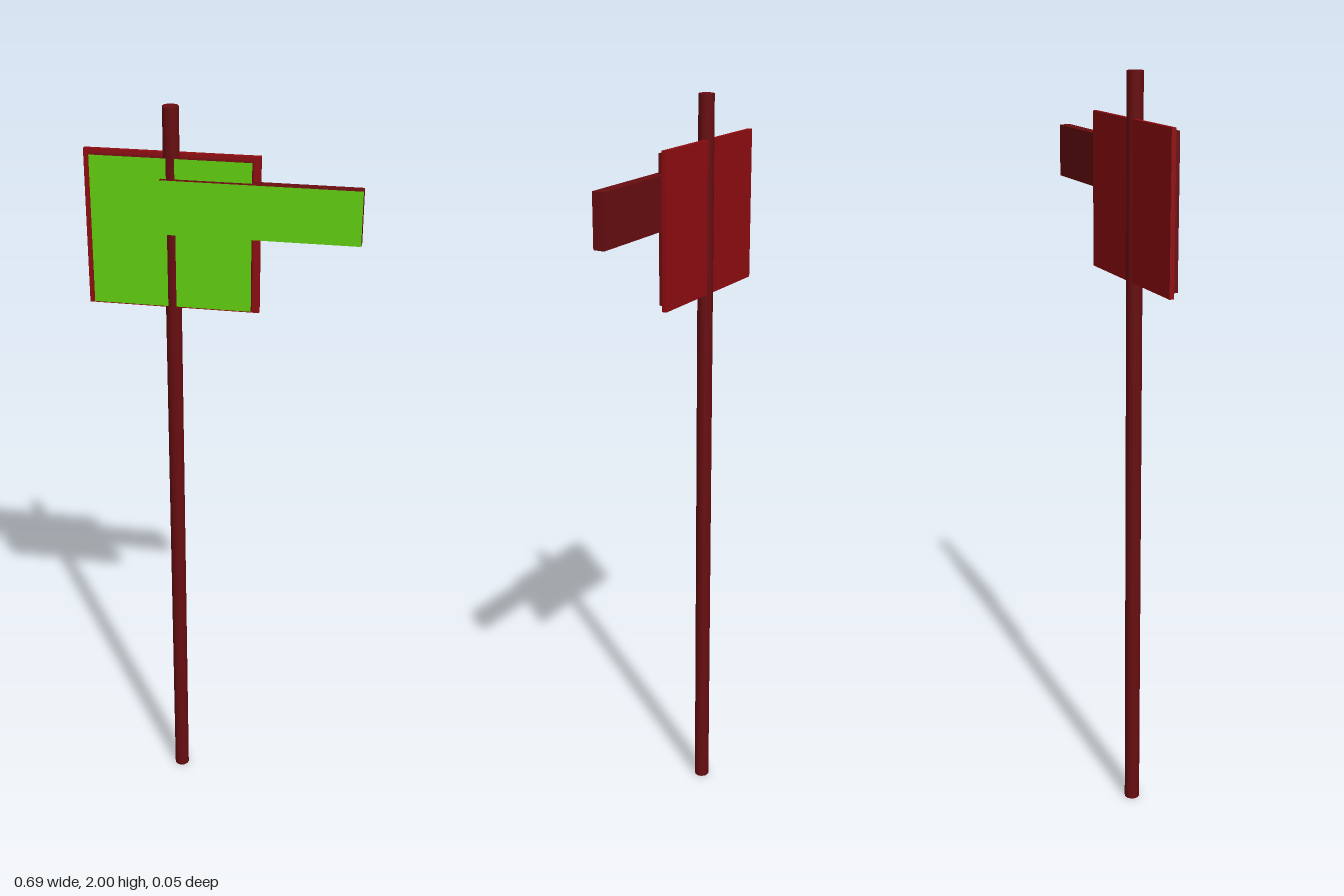
import * as THREE from 'three';

export function createModel() {
  const model = new THREE.Group();
  model.name = 'signPost';

  const mat = (name, color) => {
    const m = new THREE.MeshStandardMaterial({ color });
    m.name = name;
    return m;
  };
  const darkRed = mat('darkRed', 0x680d10);
  const red = mat('red', 0x8f0c10);
  const green = mat('green', 0x62d00e);

  // Box from its limits; the +z face may have its own colour
  const board = (name, [x0, x1], [y0, y1], [z0, z1], side, front = side) => {
    const geometry = new THREE.BoxGeometry(x1 - x0, y1 - y0, z1 - z0);
    const mesh = new THREE.Mesh(geometry, [side, side, side, side, front, side]);
    mesh.position.set((x0 + x1) / 2, (y0 + y1) / 2, (z0 + z1) / 2);
    mesh.name = name;
    model.add(mesh);
  };

  // Round pole, standing slightly proud of the panel on both sides
  const pole = new THREE.Mesh(new THREE.CylinderGeometry(0.0205, 0.0205, 2, 12), darkRed);
  pole.position.set(-0.126, 1, -0.0055);
  pole.name = 'pole';
  model.add(pole);

  // Square sign: red backing with a smaller green-faced panel
  board('backPanel', [-0.345, 0.092], [1.49, 1.888], [-0.019, -0.007], red);
  board('frontPanel', [-0.327, 0.074], [1.5, 1.878], [-0.007, 0.012], darkRed, green);

  // Signal arm reaching out to the left
  board('arm', [-0.151, 0.342], [1.692, 1.828], [-0.005, 0.025], darkRed, green);

  return model;
}
